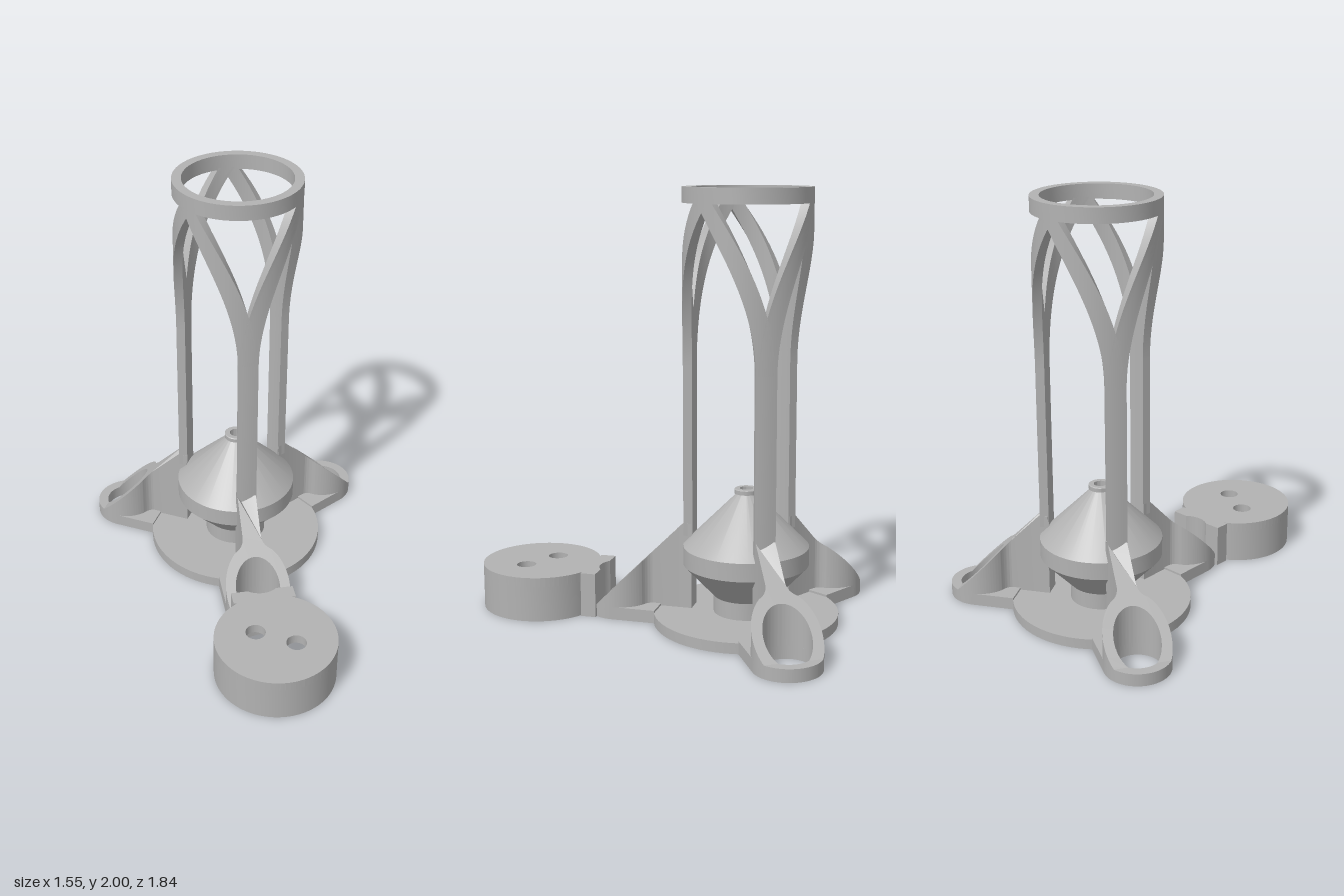
import * as THREE from 'three';
import { toCreasedNormals } from 'three/addons/utils/BufferGeometryUtils.js';

const grey = new THREE.MeshStandardMaterial({ color: 0xb2b2b2 });
grey.name = 'grey';

const AXIS = { x: -0.013, z: -0.24 };   // centre line of the tower
const INNER = 0.25, OUTER = 0.292;      // radii of the cage
const BOSS = 0.607, BOSS_R = 0.155, HOLE_R = 0.107; // foot boss: distance, radius, hole
const CHORD = 0.69;                     // where the sloped wedge runs out

function part(name, geometry, parent) {
  const mesh = new THREE.Mesh(geometry, grey);
  mesh.name = name;
  parent.add(mesh);
  return mesh;
}

function circleHole(x, y, r) {
  return new THREE.Path().absarc(x, y, r, 0, Math.PI * 2, true);
}

// Plan outline (x outwards, y sideways) raised to a height
function raise(shape, height) {
  const g = new THREE.ExtrudeGeometry(shape, { depth: height, bevelEnabled: false, curveSegments: 40 });
  return g.rotateX(-Math.PI / 2);
}

function lathe(points) {
  const g = new THREE.LatheGeometry(points.map(([r, y]) => new THREE.Vector2(r, y)), 72);
  return toCreasedNormals(g, 0.4);
}

// Curved bar on the cage cylinder; each row is [height, start angle, end angle]
function cageBar(rows) {
  const pos = [], index = [];
  const n = 5; // points across the bar
  for (const [y, a0, a1] of rows) {
    const ring = [];
    for (let i = 0; i < n; i++) ring.push([OUTER, a0 + (a1 - a0) * i / (n - 1)]);
    for (let i = n - 1; i >= 0; i--) ring.push([INNER, a0 + (a1 - a0) * i / (n - 1)]);
    for (const [r, a] of ring) pos.push(r * Math.cos(a), y, -r * Math.sin(a));
  }
  const m = n * 2;
  for (let k = 0; k < rows.length - 1; k++) {
    for (let i = 0; i < m; i++) {
      const a = k * m + i, b = k * m + (i + 1) % m;
      index.push(a, b, b + m, a, b + m, a + m);
    }
  }
  const g = new THREE.BufferGeometry();
  g.setAttribute('position', new THREE.Float32BufferAttribute(pos, 3));
  g.setIndex(index);
  return toCreasedNormals(g, 0.5);
}

// One half of the forked top of a post, curving round towards its neighbour
function strand(side) {
  const rows = [];
  const mid = (INNER + OUTER) / 2;
  for (let i = 0; i <= 24; i++) {
    const y = 1.2 + 0.74 * i / 24;
    const lead = 0.045 + 0.238 * Math.pow((y - 1.2) / 0.69, 1.9);
    const a = lead / mid, b = (lead - 0.08) / mid;
    rows.push(side > 0 ? [y, b, a] : [y, -a, -b]);
  }
  return cageBar(rows);
}

// Flat foot plate with a rounded end and a hole
function footPlate() {
  const s = new THREE.Shape();
  s.moveTo(0.4, -BOSS_R);
  s.lineTo(BOSS, -BOSS_R);
  s.absarc(BOSS, 0, BOSS_R, -Math.PI / 2, Math.PI / 2, false);
  s.lineTo(0.4, BOSS_R);
  s.closePath();
  s.holes.push(circleHole(BOSS, 0, HOLE_R));
  return raise(s, 0.06);
}

// Rib and boss wall, cut off by a 45 degree slope
function wedge() {
  const out = Math.acos((CHORD - BOSS) / BOSS_R), inn = Math.acos((CHORD - BOSS) / HOLE_R);
  const join = 2.55;
  const jx = BOSS + BOSS_R * Math.cos(join), jy = BOSS_R * Math.sin(join);
  const s = new THREE.Shape();
  s.moveTo(INNER, -0.045);
  s.lineTo(OUTER, -0.045);
  s.lineTo(0.43, -0.045);
  s.quadraticCurveTo(0.462, -0.045, jx, -jy);
  s.absarc(BOSS, 0, BOSS_R, -join, -out, false);
  s.lineTo(CHORD, -HOLE_R * Math.sin(inn));
  s.absarc(BOSS, 0, HOLE_R, -inn, inn - Math.PI * 2, true);
  s.lineTo(CHORD, BOSS_R * Math.sin(out));
  s.absarc(BOSS, 0, BOSS_R, out, join, false);
  s.quadraticCurveTo(0.462, 0.045, 0.43, 0.045);
  s.lineTo(OUTER, 0.045);
  s.lineTo(INNER, 0.045);
  s.closePath();
  const g = raise(s, 1), p = g.attributes.position;
  for (let i = 0; i < p.count; i++) {
    p.setY(i, p.getY(i) > 0.5 ? 0.06 + CHORD - Math.max(p.getX(i), OUTER) : 0.04);
  }
  g.computeVertexNormals();
  return toCreasedNormals(g, 0.5);
}

// Block joining the front foot to the cup, hollowed by the foot hole
function linkBlock() {
  const a = Math.acos((CHORD - BOSS) / HOLE_R), h = HOLE_R * Math.sin(a);
  const s = new THREE.Shape();
  s.moveTo(CHORD, -0.148);
  s.lineTo(0.762, -0.148);
  s.lineTo(0.762, 0.148);
  s.lineTo(CHORD, 0.148);
  s.lineTo(CHORD, h);
  s.absarc(BOSS, 0, HOLE_R, a, -a, true);
  s.closePath();
  return raise(s, 0.21);
}

export function createModel() {
  const model = new THREE.Group();
  model.name = 'tower';
  const tower = new THREE.Group();
  tower.name = 'towerParts';
  tower.position.set(AXIS.x, 0, AXIS.z);
  model.add(tower);

  // Round base with a bore underneath
  part('baseDisc', lathe([[0.1, 0], [0.43, 0], [0.43, 0.05], [0.1, 0.05], [0.1, 0]]), tower);

  // Hollow double-cone body with a small nozzle
  part('body', lathe([
    [0.1, 0], [0.15, 0.04], [0.15, 0.13], [0.291, 0.28], [0.291, 0.365], [0.045, 0.611],
    [0.056, 0.613], [0.056, 0.632], [0.052, 0.635], [0.031, 0.635], [0.031, 0.58],
    [0.25, 0.35], [0.25, 0.29], [0.1, 0.14], [0.1, 0],
  ]), tower);

  // Thread ridges in the bore
  for (let i = 0; i < 4; i++) {
    const ridge = part('threadRidge', new THREE.TorusGeometry(0.1, 0.008, 6, 48), tower);
    ridge.rotation.x = Math.PI / 2;
    ridge.position.y = 0.02 + i * 0.03;
  }

  // Top ring
  part('topRing', lathe([
    [INNER, 1.93], [OUTER + 0.001, 1.93], [OUTER + 0.001, 2], [INNER, 2], [INNER, 1.93],
  ]), tower);

  // Three legs: foot, wedge, post and forked top
  const plate = footPlate(), rib = wedge();
  const half = 0.045 / 0.271;
  const post = cageBar([[0.4, -half, half], [1.21, -half, half]]);
  const forks = [strand(1), strand(-1)];
  for (const angle of [Math.PI, Math.PI / 3, -Math.PI / 3]) {
    const leg = new THREE.Group();
    leg.name = 'leg';
    leg.rotation.y = angle;
    tower.add(leg);
    part('footPlate', plate, leg);
    part('wedge', rib, leg);
    part('post', post, leg);
    forks.forEach((g) => part('forkStrand', g, leg));
    if (angle < 0) part('linkBlock', linkBlock(), leg);
  }

  // Upturned cup beside the front foot, with two holes in its top
  const cup = new THREE.Group();
  cup.name = 'cup';
  cup.position.set(0.493, 0, 0.635);
  model.add(cup);
  const R = 0.281;
  part('cupWall', lathe([
    [0.245, 0], [R, 0], [R, 0.21], [R - 0.001, 0.21], [0.215, 0.165], [0.215, 0.11],
    [0.245, 0.11], [0.245, 0.07], [0.225, 0.05], [0.245, 0.03], [0.245, 0],
  ]), cup);
  const top = new THREE.Shape().absarc(0, 0, R, 0, Math.PI * 2, false);
  for (const s of [-1, 1]) top.holes.push(circleHole(s * 0.097, 0, 0.046));
  part('cupTop', raise(top, 0.045), cup).position.y = 0.165;

  return model;
}
